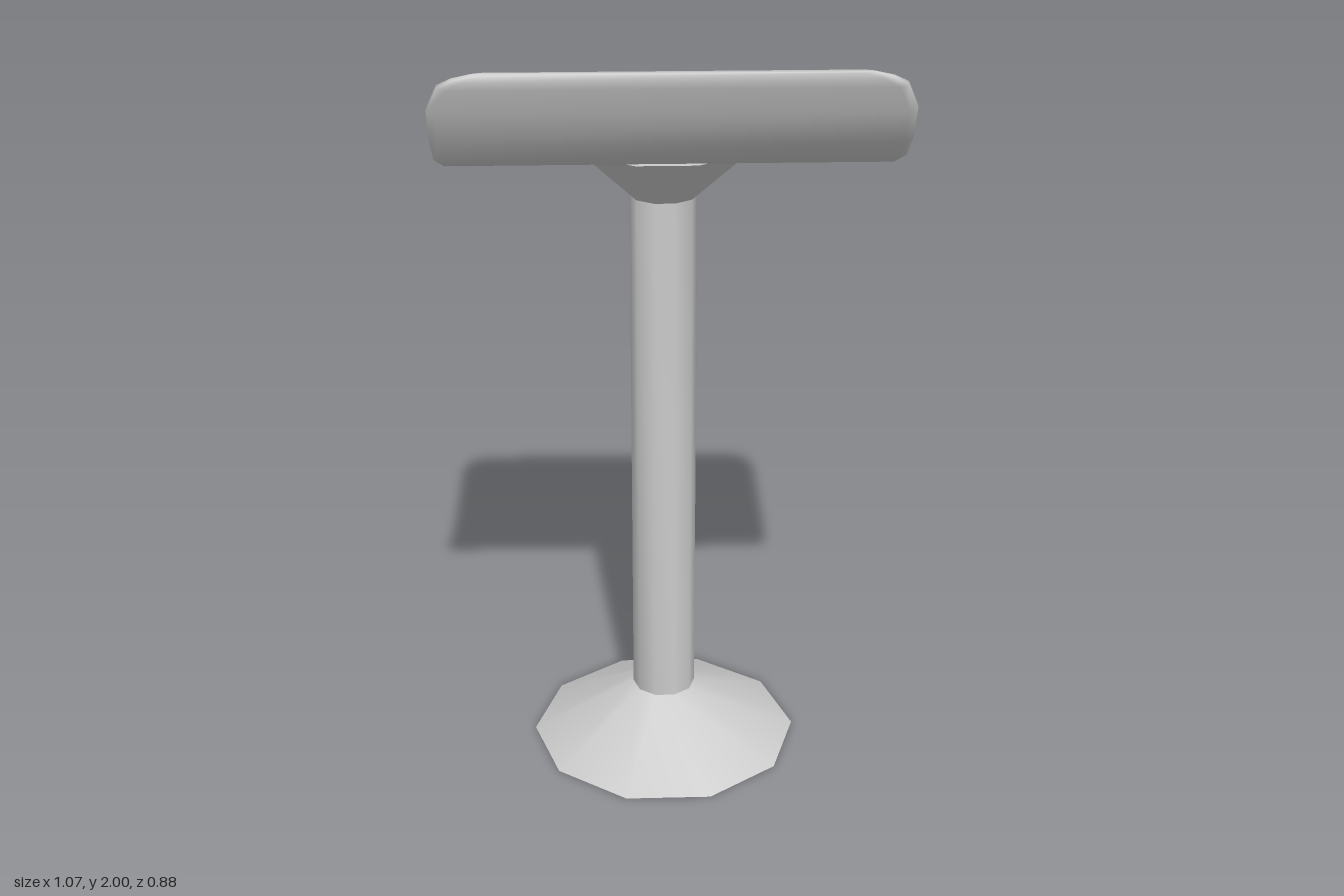
import * as THREE from 'three';
import { toCreasedNormals } from 'three/addons/utils/BufferGeometryUtils.js';

const material = new THREE.MeshStandardMaterial({ color: 0xcccccc });

function add(group, name, geometry) {
  const mesh = new THREE.Mesh(geometry, material);
  mesh.name = name;
  group.add(mesh);
  return mesh;
}

// Ten-sided turned part with a corner pointing along +x
function turned(profile) {
  const points = profile.map(([r, y]) => new THREE.Vector2(r, y));
  return toCreasedNormals(new THREE.LatheGeometry(points, 10, Math.PI / 2), 0.7);
}

// Bent seat panel: one rounded cross-section per station [z, y, half width, half thickness]
function seatGeometry() {
  const t = 0.018;
  const stations = [
    [-0.44, 1.709, 0.43, 0.009], [-0.43, 1.709, 0.475, 0.015], [-0.413, 1.709, 0.508, t],
    [-0.335, 1.709, 0.535, t], [-0.1, 1.709, 0.535, t], [0, 1.715, 0.535, t],
    [0.08, 1.722, 0.535, t], [0.165, 1.737, 0.535, t], [0.235, 1.757, 0.535, t],
    [0.283, 1.775, 0.535, t], [0.355, 1.834, 0.535, t], [0.394, 1.91, 0.535, t],
    [0.422, 1.967, 0.508, 0.015], [0.43, 1.984, 0.475, 0.012], [0.435, 1.996, 0.43, 0.006],
  ];
  const positions = [];
  const index = [];
  const last = stations.length - 1;
  stations.forEach(([z, y, w, h], i) => {
    const a = stations[Math.max(i - 1, 0)];
    const b = stations[Math.min(i + 1, last)];
    const tangent = new THREE.Vector2(b[0] - a[0], b[1] - a[1]).normalize();
    const ring = [
      [w, -0.4 * h], [w, 0.4 * h], [w - 0.02, h], [0.02 - w, h],
      [-w, 0.4 * h], [-w, -0.4 * h], [0.02 - w, -h], [w - 0.02, -h],
    ];
    for (const [x, n] of ring) positions.push(x, y + n * tangent.x, z - n * tangent.y);
  });
  for (let i = 0; i < last; i++) {
    for (let j = 0; j < 8; j++) {
      const a = i * 8 + j, b = i * 8 + (j + 1) % 8;
      index.push(a, b, b + 8, a, b + 8, a + 8);
    }
  }
  // Close both ends
  for (let j = 1; j < 7; j++) {
    index.push(0, j + 1, j);
    index.push(last * 8, last * 8 + j, last * 8 + j + 1);
  }
  const geometry = new THREE.BufferGeometry();
  geometry.setAttribute('position', new THREE.Float32BufferAttribute(positions, 3));
  geometry.setIndex(index);
  geometry.computeVertexNormals();
  return geometry;
}

export function createModel() {
  const model = new THREE.Group();
  model.name = 'stool';

  // Flared foot, column and seat support share one axis, set back from the centre
  const pedestal = new THREE.Group();
  pedestal.name = 'pedestal';
  pedestal.position.set(-0.004, 0, -0.081);
  add(pedestal, 'pedestalColumn', turned([
    [0, 0], [0.364, 0], [0.085, 0.152], [0.085, 1.57], [0.24, 1.708], [0, 1.708],
  ]));
  model.add(pedestal);

  add(model, 'seat', seatGeometry());
  return model;
}
